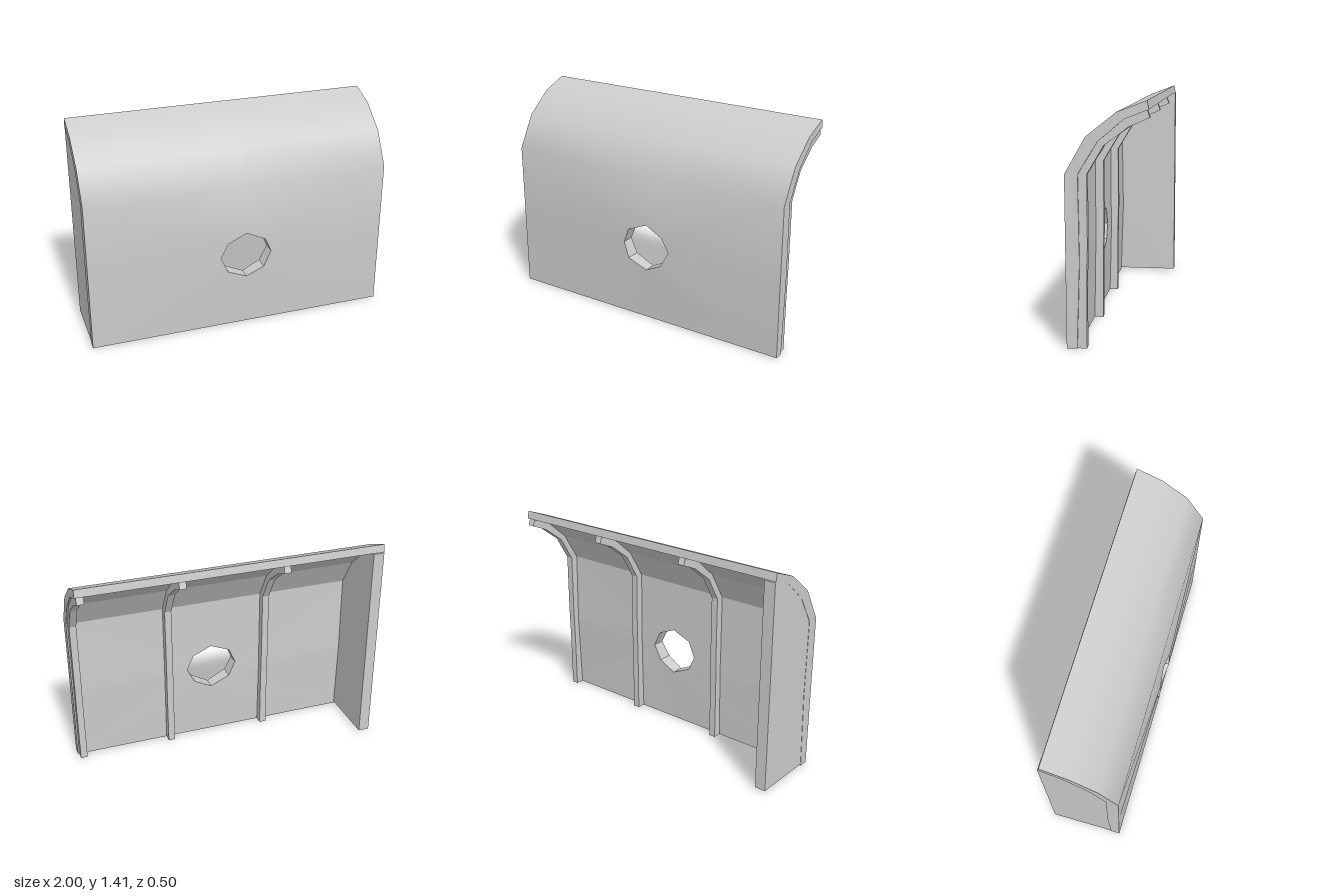
import * as THREE from 'three';
import { mergeGeometries, mergeVertices } from 'three/addons/utils/BufferGeometryUtils.js';

// Profiles as [z, y], from the spring line of the curve to its top
const outerCurve = [[0.23, 1], [0.11, 1.21], [-0.06, 1.345], [-0.23, 1.41]];
const innerCurve = [[0.155, 1], [0.045, 1.18], [-0.1, 1.305], [-0.24, 1.36]];
const ribCurve = [[0.105, 1], [0.01, 1.16], [-0.13, 1.265], [-0.245, 1.315]];

// Joins successive rows of points with quads
function loft(rows, closed = false) {
  const n = rows[0].length, index = [];
  for (let r = 0; r < rows.length - 1; r++) {
    for (let i = 0; i < (closed ? n : n - 1); i++) {
      const j = (i + 1) % n, a = r * n, b = a + n;
      index.push(a + i, b + i, b + j, a + i, b + j, a + j);
    }
  }
  const g = new THREE.BufferGeometry();
  g.setAttribute('position', new THREE.Float32BufferAttribute(rows.flat(2), 3));
  g.setIndex(index);
  return g;
}

// Extrudes a [z, y] outline across x
function slab(outline, x0, x1) {
  const shape = new THREE.Shape(outline.map(([z, y]) => new THREE.Vector2(z, y)));
  const g = new THREE.ExtrudeGeometry(shape, { depth: x1 - x0, bevelEnabled: false });
  return g.rotateY(-Math.PI / 2).translate(x1, 0, 0);
}

export function createModel() {
  const group = new THREE.Group();
  const material = new THREE.MeshStandardMaterial({ color: 0xcccccc });
  const add = (name, geometry) => {
    const mesh = new THREE.Mesh(geometry, material);
    mesh.name = name;
    group.add(mesh);
  };

  // Octagonal opening and the matching points on the panel edge
  const hole = [[0.04, 0.665], [-0.09, 0.613], [-0.135, 0.51], [-0.09, 0.41],
    [0.04, 0.35], [0.157, 0.41], [0.21, 0.51], [0.165, 0.61]];
  const edge = [[0.04, 1], [-1, 1], [-1, 0.5], [-1, 0], [0.04, 0], [1, 0], [1, 0.5], [1, 1]];
  const frontHole = hole.map(([x, y], i) => [x, y, i % 2 ? 0.25 : 0.237]);
  const backHole = hole.map(([x, y]) => [x, y, 0.155]);
  const frontEdge = edge.map(([x, y]) => [x, y, 0.225 + 0.005 * y]);
  const backEdge = edge.map(([x, y]) => [x, y, y === 0 ? 0.165 : y === 1 ? 0.155 : 0.148]);

  // Smooth outer skin: flat part with the opening, then the curved top
  const across = ([z, y]) => [-1, 0.04, 1].map((x) => [x, y, z]);
  const skin = mergeVertices(mergeGeometries([
    loft([frontHole, frontEdge], true),
    loft(outerCurve.map(across).reverse()),
  ]));
  skin.computeVertexNormals();
  add('outerSkin', skin);

  // Faceted remainder: edges, opening walls, inner face and end faces
  const endFace = (x) => loft(outerCurve.map(([z, y], i) => {
    const pair = [[x, y, z], [x, innerCurve[i][1], innerCurve[i][0]]];
    return x > 0 ? pair.reverse() : pair;
  }));
  const shell = mergeGeometries([
    loft([backHole, frontHole], true),
    loft([frontEdge, backEdge, backHole], true),
    loft([...innerCurve, outerCurve[3]].map(across)),
    endFace(-1),
    endFace(1),
  ]).toNonIndexed();
  shell.computeVertexNormals();
  add('innerShell', shell);

  // Ribs following the inner face, sunk slightly into it
  const sunk = innerCurve.map(([z, y]) => [z + 0.015, y + 0.01]);
  const ribOutline = [[0.11, 0], [0.18, 0], [0.165, 0.5], ...sunk,
    ...[...ribCurve].reverse(), [0.104, 0.6], [0.109, 0.38]];
  for (const [name, x] of [['rightRib', -0.355], ['middleRib', 0.325], ['leftRib', 0.945]]) {
    add(name, slab(ribOutline, x, x + 0.045));
  }

  // Closing wall at the right end, filling the space behind the panel
  const wallCurve = innerCurve.map(([z, y]) => [z + 0.005, y]);
  add('endWall', slab([[-0.243, 0.01], [0.17, 0.01], [0.155, 0.5], ...wallCurve,
    [-0.243, 1.355]], -0.998, -0.925));

  return group;
}
